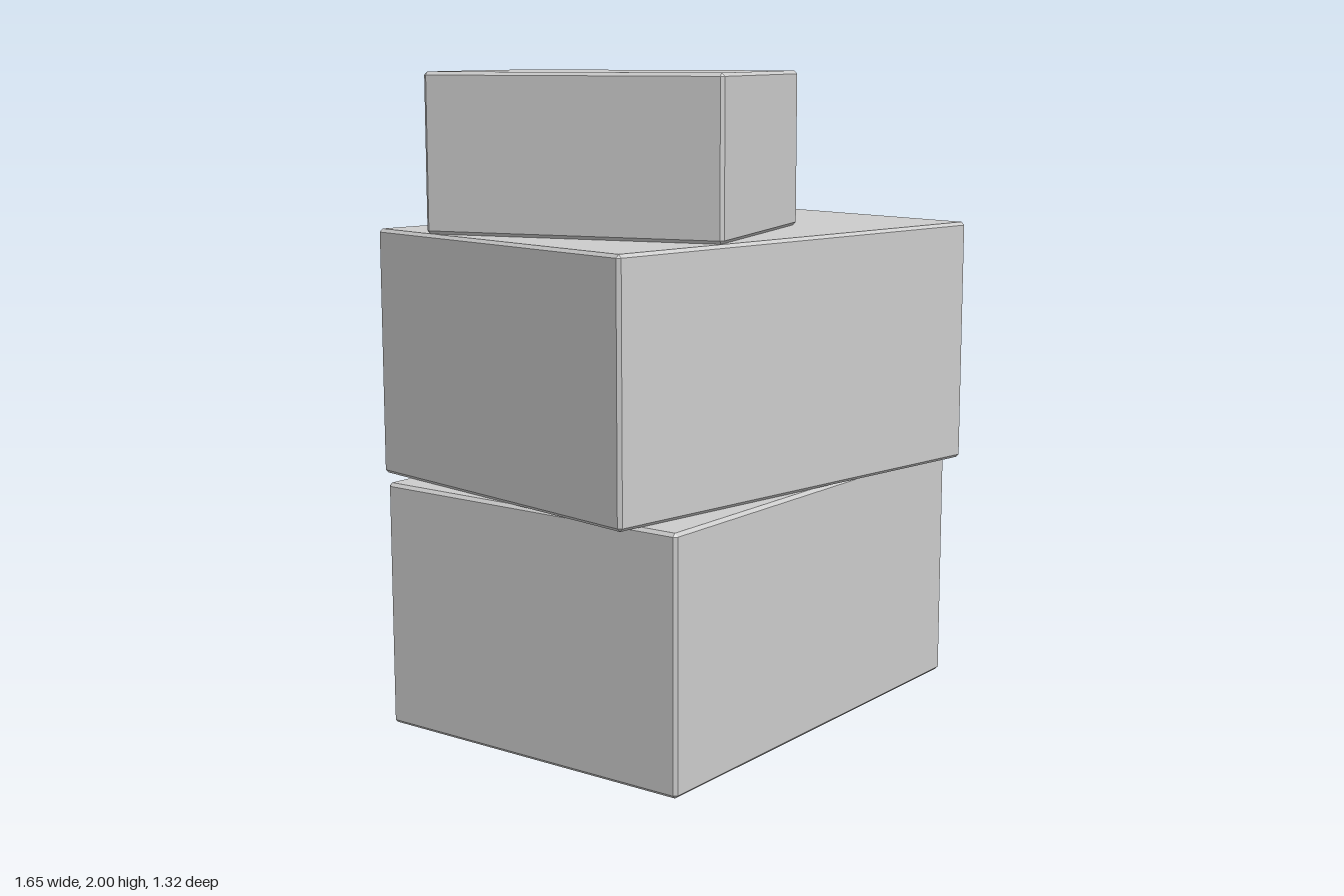
import * as THREE from 'three';
import { ConvexGeometry } from 'three/addons/geometries/ConvexGeometry.js';

// Box with small flat chamfers on every edge
function chamferedBox(w, h, d, c) {
  const points = [];
  for (const x of [-1, 1]) for (const y of [-1, 1]) for (const z of [-1, 1]) {
    const corner = new THREE.Vector3(x * w / 2, y * h / 2, z * d / 2);
    // each corner becomes three points, one on each adjoining face
    for (const [i, j, k] of [[0, 1, 1], [1, 0, 1], [1, 1, 0]]) {
      points.push(corner.clone().sub(new THREE.Vector3(i * x * c, j * y * c, k * z * c)));
    }
  }
  return new ConvexGeometry(points);
}

export function createModel() {
  const group = new THREE.Group();
  group.name = 'stackedBoxes';
  const material = new THREE.MeshStandardMaterial({ color: 0xcccccc, flatShading: true });

  // Each box stands on the one below, turned a little
  const boxes = [
    { name: 'bottomBox', size: [1.49, 0.762, 1.096], at: [0, 0], turn: 0 },
    { name: 'middleBox', size: [1.49, 0.762, 1.096], at: [0, 0], turn: -0.166 },
    { name: 'topBox', size: [0.69, 0.476, 0.934], at: [-0.232, -0.061], turn: 0.279 },
  ];
  let y = 0;
  for (const { name, size: [w, h, d], at: [x, z], turn } of boxes) {
    const box = new THREE.Mesh(chamferedBox(w, h, d, 0.01), material);
    box.name = name;
    box.position.set(x, y + h / 2, z);
    box.rotation.y = turn;
    group.add(box);
    y += h;
  }
  return group;
}
